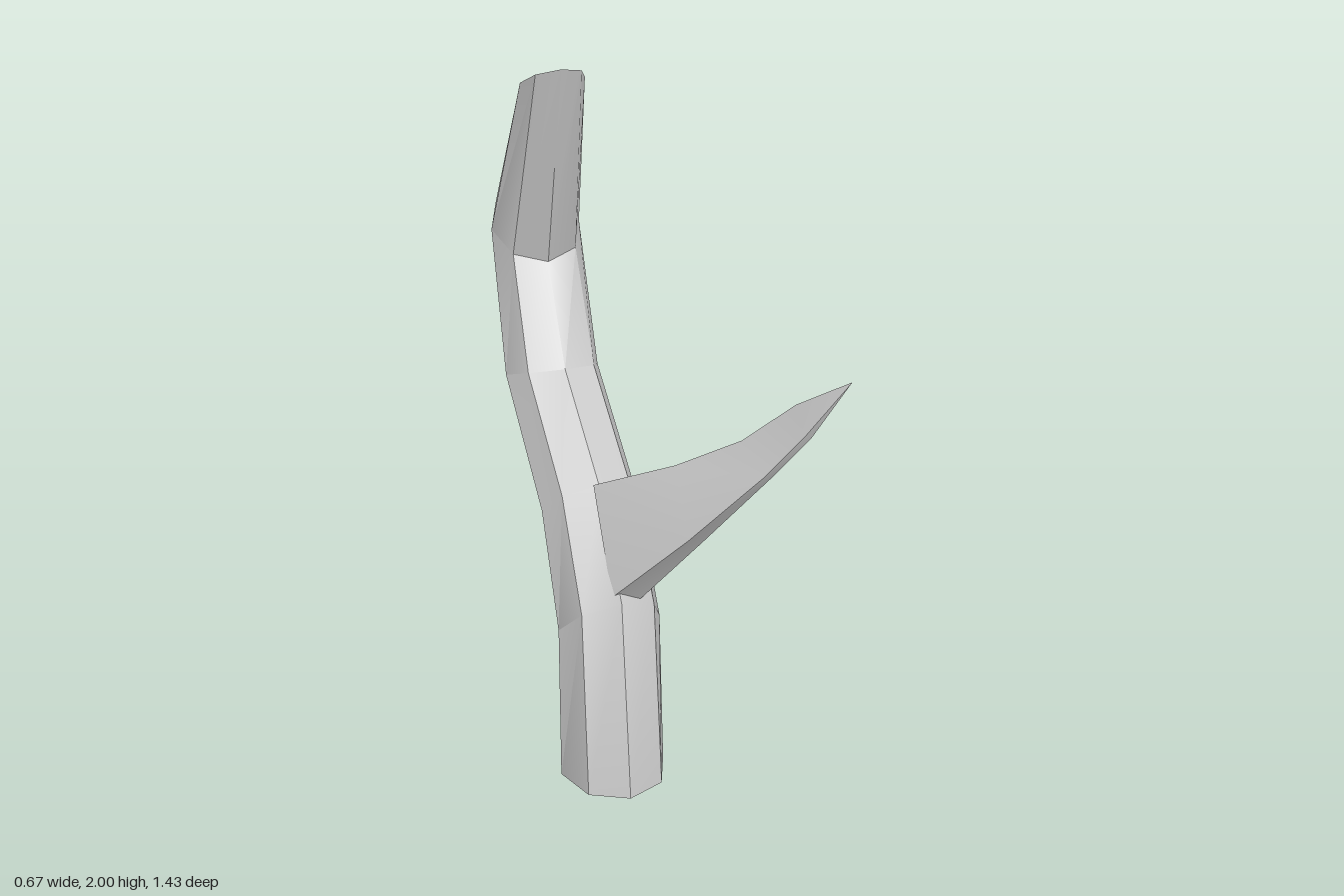
import * as THREE from 'three';
import { toCreasedNormals } from 'three/addons/utils/BufferGeometryUtils.js';

// Skin a list of rings (counter-clockwise seen from the end) and cap both ends
function loft(rings, crease) {
  const pos = [];
  const tri = (a, b, c) => {
    const area = new THREE.Triangle(a, b, c).getArea();
    if (area > 1e-8) for (const p of [a, b, c]) pos.push(p.x, p.y, p.z);
  };
  const n = rings[0].length;
  for (let r = 0; r < rings.length - 1; r++) {
    const a = rings[r], b = rings[r + 1];
    for (let i = 0; i < n; i++) {
      const j = (i + 1) % n;
      tri(a[i], a[j], b[j]);
      tri(a[i], b[j], b[i]);
    }
  }
  const first = rings[0], last = rings[rings.length - 1];
  for (let i = 1; i < n - 1; i++) {
    tri(first[0], first[i + 1], first[i]);
    tri(last[0], last[i], last[i + 1]);
  }
  const geo = new THREE.BufferGeometry();
  geo.setAttribute('position', new THREE.Float32BufferAttribute(pos, 3));
  return toCreasedNormals(geo, crease);
}

// Eight-sided ring spanned by its front and back points and its half width
function trunkRing([frontZ, frontY, backZ, backY, halfWidth]) {
  const ring = [];
  for (let i = 0; i < 8; i++) {
    const t = (i / 8) * Math.PI * 2;
    const k = (1 + Math.cos(t)) / 2;
    ring.push(new THREE.Vector3(
      -0.18 + halfWidth * Math.sin(t),
      THREE.MathUtils.lerp(backY, frontY, k),
      THREE.MathUtils.lerp(backZ, frontZ, k)
    ));
  }
  return ring;
}

export function createModel() {
  const group = new THREE.Group();
  const material = new THREE.MeshStandardMaterial({ color: 0xcccccc });
  const add = (name, geo) => {
    const mesh = new THREE.Mesh(geo, material);
    mesh.name = name;
    group.add(mesh);
  };

  // Bent trunk: front z, front y, back z, back y, half width
  const trunk = [
    [0.39, 0, 0.02, 0, 0.157],
    [0.31, 0.6, 0.055, 0.345, 0.152],
    [0.09, 0.87, -0.105, 0.66, 0.145],
    [-0.26, 1.085, -0.56, 0.96, 0.142],
    [-0.43, 1.36, -0.715, 1.49, 0.135],
    [-0.255, 2, -0.44, 1.885, 0.095]
  ].map(trunkRing);
  add('trunk', loft(trunk, 0.7));

  // Blade-like side branch: upper left, lower left, lower right, upper right
  const branch = [
    [[-0.2, 0.88, 0.1], [-0.2, 0.61, 0.28], [-0.12, 0.58, 0.27], [-0.13, 0.86, 0.075]],
    [[-0.02, 1.01, 0.3], [-0.03, 0.85, 0.45], [0.02, 0.83, 0.43], [0.03, 1, 0.27]],
    [[0.125, 1.13, 0.44], [0.13, 1.09, 0.6], [0.155, 1.08, 0.59], [0.165, 1.13, 0.44]],
    [[0.225, 1.285, 0.58], [0.225, 1.225, 0.655], [0.245, 1.215, 0.65], [0.26, 1.275, 0.575]],
    Array(4).fill([0.33, 1.395, 0.715])
  ].map((ring) => ring.map((p) => new THREE.Vector3(...p)));
  add('sideBranch', loft(branch, 0.5));

  return group;
}
